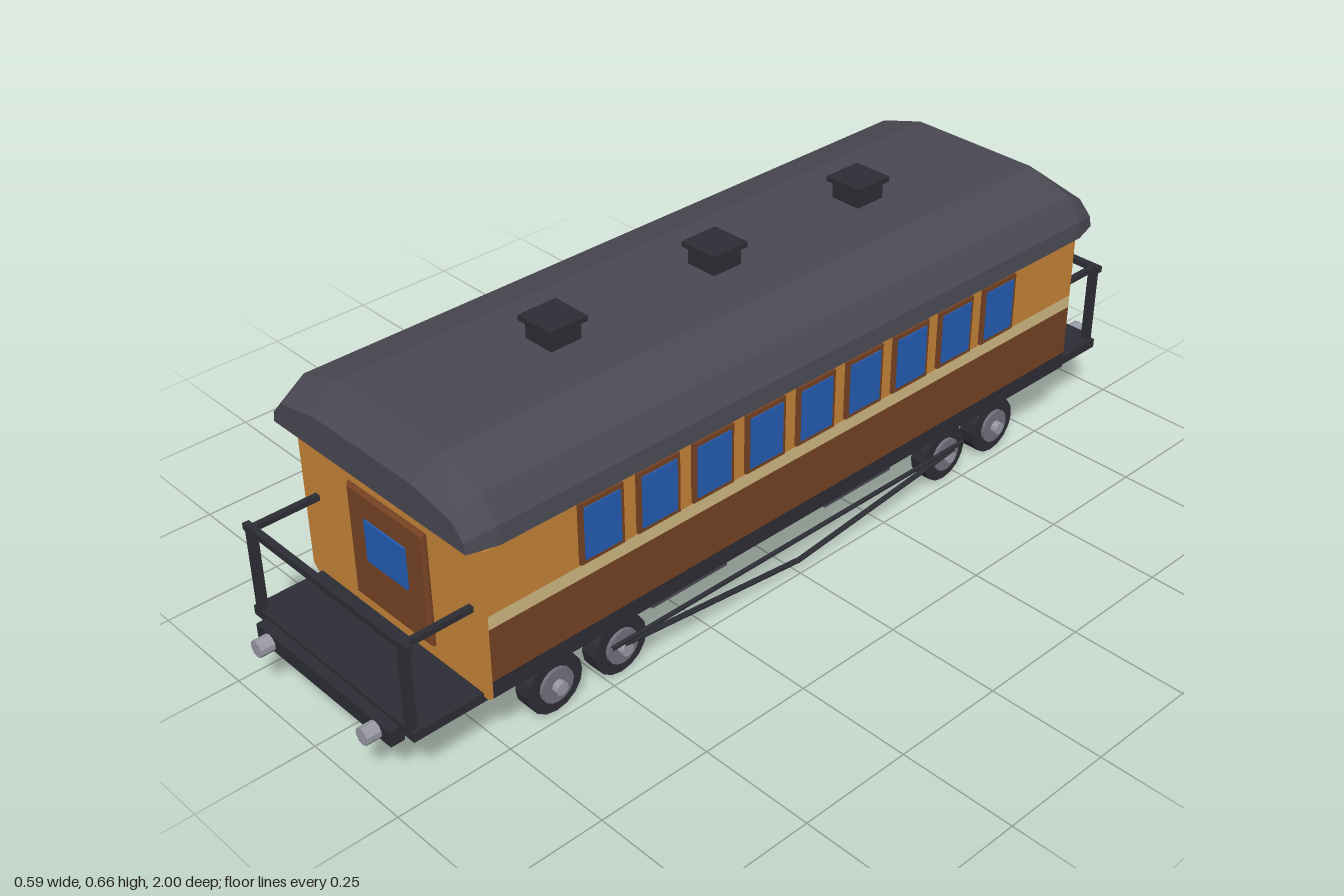
import * as THREE from 'three';
import { ConvexGeometry } from 'three/addons/geometries/ConvexGeometry.js';

const mat = (name, color) => Object.assign(new THREE.MeshStandardMaterial({ color, flatShading: true }), { name });

export function createModel() {
  const orange = mat('orange paint', 0xc68438);
  const brown = mat('brown paint', 0x764223);
  const cream = mat('cream stripe', 0xd2ba84);
  const blue = mat('blue glass', 0x245cb4);
  const roofGrey = mat('roof grey', 0x4a4953);
  const dark = mat('dark iron', 0x2d2d35);
  const metal = mat('bare metal', 0x9a9aa6);
  const steel = mat('wheel steel', 0x72727e);

  const model = new THREE.Group();
  model.name = 'passengerCarriage';

  const add = (name, geometry, material, parent = model) => {
    const mesh = new THREE.Mesh(geometry, material);
    mesh.name = name;
    parent.add(mesh);
    return mesh;
  };
  // Box given by its limits on each axis
  const box = (name, material, [x0, x1], [y0, y1], [z0, z1], parent = model) => {
    const g = new THREE.BoxGeometry(x1 - x0, y1 - y0, z1 - z0);
    g.translate((x0 + x1) / 2, (y0 + y1) / 2, (z0 + z1) / 2);
    return add(name, g, material, parent);
  };
  // Cylinder lying along x
  const axial = (name, material, r, x0, x1, y, z, parent, sides = 16) => {
    const g = new THREE.CylinderGeometry(r, r, x1 - x0, sides);
    g.rotateZ(Math.PI / 2).translate((x0 + x1) / 2, y, z);
    return add(name, g, material, parent);
  };
  // Round bar between two points
  const bar = (name, material, a, b, r, parent) => {
    const path = new THREE.LineCurve3(new THREE.Vector3(...a), new THREE.Vector3(...b));
    return add(name, new THREE.TubeGeometry(path, 1, r, 6), material, parent);
  };

  // Body: stacked bands with painted sides and orange ends
  const band = (name, material, y0, y1, w0, w1) => {
    const g = new THREE.BoxGeometry(2, y1 - y0, 1.59).translate(0, (y0 + y1) / 2, 0);
    const p = g.attributes.position;
    const mid = (y0 + y1) / 2;
    for (let i = 0; i < p.count; i++) p.setX(i, p.getX(i) * (p.getY(i) < mid ? w0 : w1));
    add(name, g, [material, material, material, material, orange, orange]);
  };
  band('lowerChamfer', dark, 0.147, 0.16, 0.258, 0.273);
  band('sillBand', dark, 0.16, 0.197, 0.273, 0.273);
  band('lowerPanel', brown, 0.197, 0.311, 0.273, 0.273);
  band('waistStripe', cream, 0.311, 0.34, 0.273, 0.273);
  band('windowPanel', orange, 0.34, 0.475, 0.273, 0.273);
  band('upperChamfer', orange, 0.475, 0.5, 0.273, 0.262);

  // Roof: faceted arch with sloping ends
  const full = [[0.297, 0.495], [0.293, 0.532], [0.258, 0.58], [0.153, 0.612]];
  const end = [[0.28, 0.495], [0.276, 0.517], [0.246, 0.547], [0.14, 0.567]];
  const roofPoints = [];
  for (const sx of [-1, 1]) for (const sz of [-1, 1]) {
    full.forEach(([x, y]) => roofPoints.push(new THREE.Vector3(sx * x, y, sz * 0.775)));
    end.forEach(([x, y]) => roofPoints.push(new THREE.Vector3(sx * x, y, sz * 0.835)));
  }
  add('roof', new ConvexGeometry(roofPoints), roofGrey);

  // Roof vents
  for (const z of [-0.405, 0, 0.405]) {
    box('ventNeck', dark, [-0.036, 0.036], [0.6, 0.65], [z - 0.036, z + 0.036]);
    box('ventCap', dark, [-0.045, 0.045], [0.649, 0.66], [z - 0.045, z + 0.045]);
  }

  // Side windows
  for (const s of [-1, 1]) {
    const side = (a, b) => (s > 0 ? [a, b] : [-b, -a]);
    for (let i = -4; i <= 4; i++) {
      const z = i * 0.135;
      box('windowFrame', brown, side(0.272, 0.28), [0.345, 0.475], [z - 0.051, z + 0.051]);
      box('windowPane', blue, side(0.279, 0.283), [0.355, 0.465], [z - 0.042, z + 0.042]);
    }
  }

  // Floor slab, running through to the end platforms, and sills
  box('floorSlab', dark, [-0.245, 0.245], [0.135, 0.155], [-0.948, 0.948]);
  box('underframe', dark, [-0.232, 0.232], [0.125, 0.14], [-0.7, 0.7]);

  // Equipment boxes under the floor
  for (const z of [-0.24, 0.24])
    box('equipmentBox', roofGrey, [-0.182, 0.182], [0.057, 0.13], [z - 0.1, z + 0.1]);

  // One end: door, platform railing, buffers; the other is turned round
  for (const turn of [0, Math.PI]) {
    const e = new THREE.Group();
    e.name = turn ? 'backEnd' : 'frontEnd';
    e.rotation.y = turn;
    model.add(e);

    const door = new THREE.Shape();
    const w = 0.108, y0 = 0.19, y1 = 0.425;
    door.moveTo(-w, y0).lineTo(w, y0).lineTo(w, y1).lineTo(-w, y1).closePath();
    const doorGeometry = new THREE.ExtrudeGeometry(door, {
      depth: 0.005, bevelSize: 0.005, bevelThickness: 0.005, bevelSegments: 1,
    }).translate(0, 0, 0.796);
    add('door', doorGeometry, brown, e);
    box('doorWindow', blue, [-0.06, 0.06], [0.286, 0.377], [0.803, 0.81], e);

    box('bufferBeam', dark, [-0.205, 0.205], [0.112, 0.147], [0.94, 0.97], e);
    box('endRail', dark, [-0.245, 0.245], [0.328, 0.342], [0.933, 0.947], e);
    for (const s of [-1, 1]) {
      const x = s * 0.228;
      box('railPost', dark, [x - 0.008, x + 0.008], [0.14, 0.33], [0.932, 0.948], e);
      box('sideRail', dark, [x - 0.006, x + 0.006], [0.329, 0.341], [0.79, 0.935], e);
      const buffer = new THREE.CylinderGeometry(0.018, 0.018, 0.04, 10);
      buffer.rotateX(Math.PI / 2).translate(s * 0.163, 0.128, 0.98);
      add('buffer', buffer, metal, e);
    }

    // Bogie with two wheelsets
    const bogie = new THREE.Group();
    bogie.name = 'bogie';
    e.add(bogie);
    box('bolster', dark, [-0.17, 0.17], [0.075, 0.128], [0.5, 0.585], bogie);
    for (const s of [-1, 1])
      box('bogieSideFrame', dark, [s * 0.164 - 0.018, s * 0.164 + 0.018], [0.078, 0.112], [0.35, 0.74], bogie);
    for (const z of [0.365, 0.725])
      box('bogieCrossbeam', dark, [-0.15, 0.15], [0.08, 0.108], [z - 0.015, z + 0.015], bogie);
    for (const z of [0.462, 0.622]) {
      axial('axle', dark, 0.012, -0.2, 0.2, 0.064, z, bogie, 8);
      for (const s of [-1, 1]) {
        const out = (a, b) => (s > 0 ? [a, b] : [-b, -a]);
        axial('wheel', dark, 0.064, ...out(0.19, 0.228), 0.064, z, bogie);
        axial('wheelDisc', steel, 0.038, ...out(0.22, 0.235), 0.064, z, bogie);
        axial('hubCap', metal, 0.014, ...out(0.23, 0.249), 0.064, z, bogie, 10);
      }
    }
  }

  // Truss rods along each side
  for (const s of [-1, 1]) {
    const x = s * 0.245;
    bar('trussTopRod', dark, [x, 0.085, -0.5], [x, 0.085, 0.5], 0.005);
    for (const d of [-1, 1])
      bar('trussRod', dark, [x, 0.08, d * 0.47], [x, 0.031, 0], 0.006);
  }

  return model;
}
